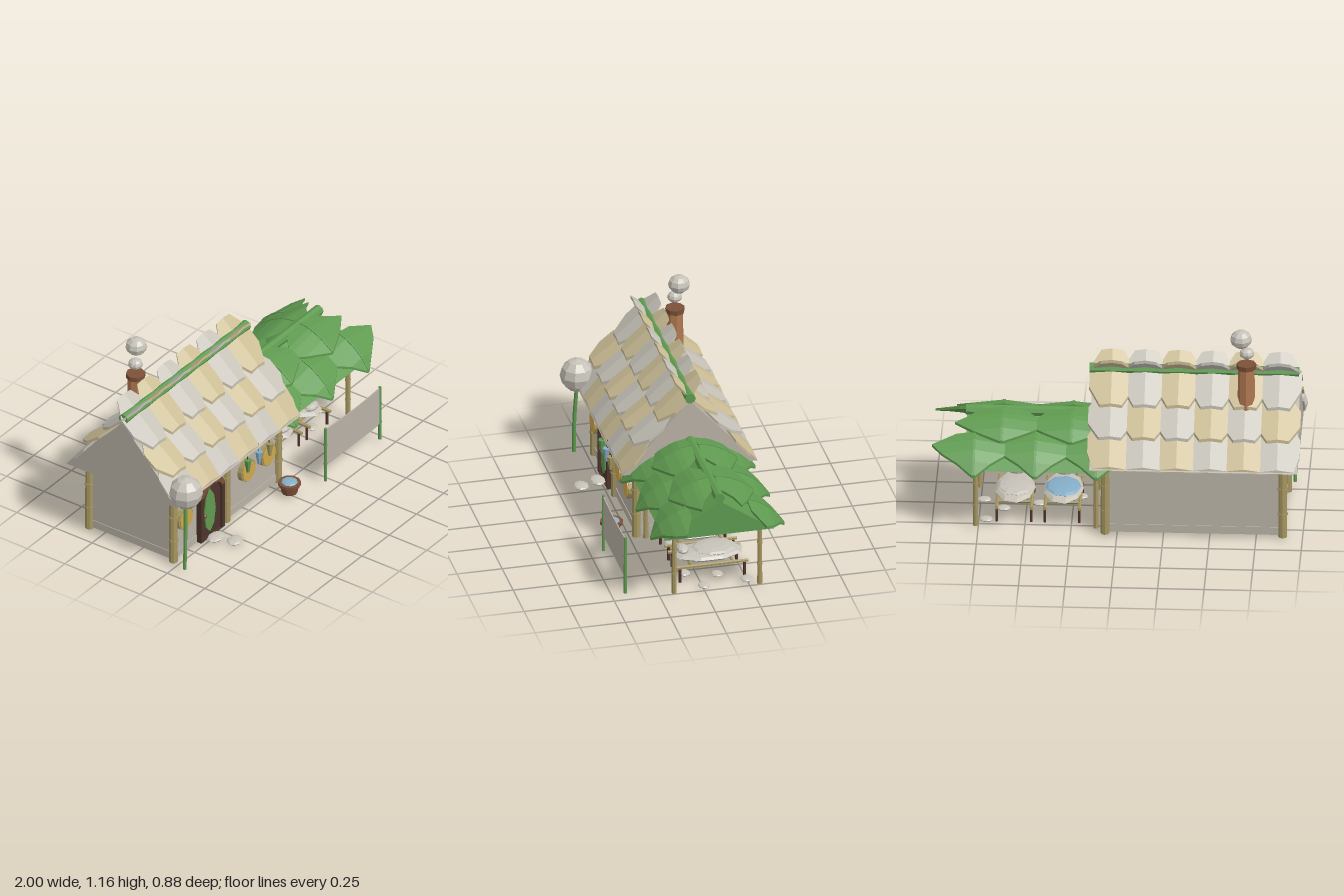
import * as THREE from 'three';

const mat = (name, color) => {
  const m = new THREE.MeshStandardMaterial({ color, flatShading: true });
  m.name = name;
  return m;
};

export function createModel() {
  const wall = mat('plaster', 0xb8b1a5), stone = mat('pale stone', 0xc6c2b8), tan = mat('tan tile', 0xcbbd95);
  const green = mat('leaf green', 0x5f9a50), bamboo = mat('bamboo', 0xa59660), dark = mat('dark wood', 0x4d342c);
  const gold = mat('gold', 0xd0a84c), blue = mat('blue', 0x85aec8), clay = mat('clay', 0xb07850), brown = mat('brown wood', 0x7c5038);
  const root = new THREE.Group();
  const ZC = -0.065; // ridge line

  const add = (name, geo, material, x = 0, y = 0, z = 0) => {
    const m = new THREE.Mesh(geo, material);
    m.name = name;
    m.position.set(x, y, z);
    root.add(m);
    return m;
  };
  const box = (name, m, w, h, d, x, y, z) => add(name, new THREE.BoxGeometry(w, h, d), m, x, y, z);
  const cyl = (name, m, rt, rb, y0, y1, x, z, n = 8) =>
    add(name, new THREE.CylinderGeometry(rt, rb, y1 - y0, n), m, x, (y0 + y1) / 2, z);
  const blob = (name, m, rx, ry, rz, x, y, z) =>
    add(name, new THREE.SphereGeometry(1, 9, 6), m, x, y, z).scale.set(rx, ry, rz);
  const extrude = (shape, depth) => new THREE.ExtrudeGeometry(shape, { depth, bevelEnabled: false, curveSegments: 5 });
  const poly = pts => new THREE.Shape(pts.map(p => new THREE.Vector2(...p)));

  // Jointed bamboo pole
  const pole = (name, m, r, y0, y1, x, z) => {
    cyl(name, m, r * 0.93, r, y0, y1, x, z);
    for (const t of [0.33, 0.68]) {
      const y = y0 + (y1 - y0) * t;
      cyl(name + 'Joint', m, r * 1.15, r * 1.15, y - 0.005, y + 0.005, x, z);
    }
  };

  // Gable prism along x
  const prism = (name, m, x0, x1, half, y0, y1) => {
    const g = extrude(poly([[-half, y0], [half, y0], [0, y1]]), x1 - x0);
    add(name, g, m, x0, 0, ZC).rotation.y = Math.PI / 2;
  };

  // Folded plate lofted down a slope: path of [z, y, halfWidth]
  const blade = (path, sag, thick) => {
    const rings = path.map(([z, y, w]) => [
      [-w, y - sag * w, z], [0, y, z], [w, y - sag * w, z],
      [w, y - sag * w - thick, z], [0, y - thick, z], [-w, y - sag * w - thick, z]]);
    const out = [], tri = (...p) => p.forEach(v => out.push(...v));
    for (let i = 0; i < rings.length - 1; i++) for (let j = 0; j < 6; j++) {
      const k = (j + 1) % 6, a = rings[i][j], b = rings[i][k], c = rings[i + 1][k], d = rings[i + 1][j];
      tri(a, d, b);
      tri(b, d, c);
    }
    const s = rings[0], e = rings[rings.length - 1];
    for (let j = 1; j < 5; j++) {
      tri(s[0], s[j], s[j + 1]);
      tri(e[0], e[j + 1], e[j]);
    }
    const g = new THREE.BufferGeometry();
    g.setAttribute('position', new THREE.Float32BufferAttribute(out, 3));
    g.computeVertexNormals();
    return g;
  };

  // House body
  box('walls', wall, 0.955, 0.41, 0.555, -0.413, 0.225, ZC);
  box('wallBase', wall, 0.963, 0.045, 0.563, -0.413, 0.0425, ZC);
  for (const x of [-0.893, -0.41, 0.064]) pole('frontPost', bamboo, 0.024, 0.01, 0.43, x, 0.213);
  for (const x of [-0.893, 0.064]) pole('backPost', bamboo, 0.024, 0.01, 0.43, x, -0.345);
  prism('roofCore', wall, -0.975, 0.145, 0.375, 0.43, 0.84);
  const ridge = (name, x0, x1, y) => {
    add(name, new THREE.CylinderGeometry(0.03, 0.03, x1 - x0, 8), green, (x0 + x1) / 2, y, ZC).rotation.z = Math.PI / 2;
  };
  ridge('roofRidge', -0.97, 0.16, 0.86);

  // Roof tiles, three rows on each slope
  const rows = [[-0.07, 0.945, 0.165, 0.73], [0.09, 0.765, 0.3, 0.6], [0.2, 0.655, 0.37, 0.45]];
  rows.forEach(([z0, y0, z1, y1], r) => {
    const widths = [0.06, 0.12, 0.12, r === 2 ? 0.09 : 0.06];
    const path = [0, 0.3, 0.65, 1].map((t, i) => [z0 + (z1 - z0) * t, y0 + (y1 - y0) * t, widths[i]]);
    const g = blade(path, 0.14, 0.018);
    for (let c = 0; c < 6; c++) for (const turn of [0, Math.PI])
      add('roofTile', g, (r + c) % 2 ? tan : stone, -0.866 + c * 0.181, 0, ZC).rotation.y = turn;
  });

  // Chimney and smoke
  cyl('chimney', clay, 0.044, 0.05, 0.6, 0.94, -0.69, -0.185);
  cyl('chimneyCap', brown, 0.054, 0.052, 0.935, 0.963, -0.69, -0.185);
  blob('smallSmoke', stone, 0.041, 0.031, 0.041, -0.693, 1.025, -0.184);
  blob('largeSmoke', stone, 0.06, 0.051, 0.06, -0.662, 1.117, -0.201);

  // Door
  const arch = (hw, h) => poly([[-hw, 0.02], [hw, 0.02], [hw, h - 0.07], [hw * 0.72, h - 0.02], [0.02, h], [-0.02, h], [-hw * 0.72, h - 0.02], [-hw, h - 0.07]]);
  const frame = arch(0.108, 0.375);
  frame.holes.push(arch(0.085, 0.35));
  add('doorFrame', extrude(frame, 0.04), dark, -0.573, 0, 0.205);
  const lintel = poly([[-0.108, 0.305], [-0.08, 0.305], [-0.055, 0.337], [0, 0.356], [0.055, 0.337], [0.08, 0.305], [0.108, 0.305], [0.078, 0.358], [0.02, 0.377], [-0.02, 0.377], [-0.078, 0.358]]);
  add('doorArch', extrude(lintel, 0.046), brown, -0.573, 0, 0.203);
  add('door', extrude(arch(0.088, 0.352), 0.02), dark, -0.573, 0, 0.21);
  const leaf = poly([[0, 0.05], [0.035, 0.09], [0.05, 0.18], [0.035, 0.27], [0, 0.325], [-0.035, 0.27], [-0.05, 0.18], [-0.035, 0.09]]);
  add('doorLeaf', extrude(leaf, 0.008), green, -0.59, 0, 0.231);
  blob('doorKnob', brown, 0.012, 0.012, 0.012, -0.642, 0.175, 0.24);

  // Round windows
  for (const x of [-0.813, -0.24, -0.055]) {
    add('windowRim', new THREE.CylinderGeometry(0.066, 0.066, 0.035, 14), bamboo, x, 0.252, 0.222).rotation.x = Math.PI / 2;
    add('windowPane', new THREE.CylinderGeometry(0.057, 0.057, 0.008, 14), gold, x, 0.252, 0.241).rotation.x = Math.PI / 2;
  }

  // Hanging cones under the eave
  [[green, -0.335], [blue, -0.235], [bamboo, -0.135]].forEach(([m, x]) => {
    cyl('hangingCone', m, 0.022, 0.009, 0.322, 0.4, x, 0.305, 6);
    cyl('hangingCord', dark, 0.003, 0.003, 0.4, 0.45, x, 0.3, 4);
  });

  // Round tree on a bent stalk
  const stalk = new THREE.CatmullRomCurve3([[-0.93, 0.02, 0.315], [-0.925, 0.2, 0.316], [-0.908, 0.44, 0.305]].map(p => new THREE.Vector3(...p)));
  add('stalk', new THREE.TubeGeometry(stalk, 6, 0.011, 6), green);
  blob('treeCrown', stone, 0.094, 0.094, 0.094, -0.906, 0.5, 0.305);

  // Water bucket
  cyl('bucket', brown, 0.055, 0.043, 0.02, 0.075, 0.003, 0.335, 10);
  cyl('bucketRim', brown, 0.063, 0.063, 0.07, 0.086, 0.003, 0.335, 10);
  blob('water', blue, 0.047, 0.015, 0.047, 0.003, 0.084, 0.335);

  // Awning
  prism('awningCore', green, 0.08, 0.82, 0.302, 0.375, 0.578);
  ridge('awningRidge', 0.08, 0.825, 0.597);
  for (const x of [0.115, 0.763]) for (const z of [0.172, -0.302]) pole('awningPost', bamboo, 0.014, 0.02, 0.39, x, z);
  const lower = [[0.165, 0.545, 0.1], [0.22, 0.525, 0.23], [0.275, 0.49, 0.175], [0.325, 0.445, 0.09], [0.37, 0.38, 0.008]];
  const upper = [[0.02, 0.627, 0.12], [0.08, 0.617, 0.19], [0.11, 0.606, 0.255], [0.17, 0.575, 0.16], [0.235, 0.525, 0.008]];
  const rib = path => blade(path.map(([z, y]) => [z, y + 0.004, 0.006]), 0, 0.012);
  [[lower, [0.11, 0.44, 0.77], 0.15], [upper, [0.25, 0.625], 0.13]].forEach(([path, xs, sag]) => {
    const g = blade(path, sag, 0.014), rg = rib(path);
    for (const x of xs) for (const turn of [0, Math.PI]) {
      add('awningLeaf', g, green, x, 0, ZC).rotation.y = turn;
      add('leafRib', rg, green, x, 0, ZC).rotation.y = turn;
    }
  });

  // Beds: rails, legs, mattress, blanket, pillow
  [[0.3, blue], [0.56, stone]].forEach(([x, m]) => {
    for (const s of [-1, 1]) {
      add('bedRail', new THREE.CylinderGeometry(0.01, 0.01, 0.4, 6), bamboo, x + s * 0.093, 0.108, ZC).rotation.x = Math.PI / 2;
      for (const z of [0.113, -0.245]) cyl('bedLeg', dark, 0.008, 0.008, 0.02, 0.104, x + s * 0.093, z, 6);
    }
    for (const z of [0.05, -0.18])
      add('bedSlat', new THREE.CylinderGeometry(0.008, 0.008, 0.2, 6), bamboo, x, 0.108, z).rotation.z = Math.PI / 2;
    blob('mattress', stone, 0.11, 0.026, 0.198, x, 0.139, ZC);
    blob('blanket', m, 0.098, 0.018, 0.125, x, 0.164, -0.098);
    blob('pillow', stone, 0.05, 0.021, 0.034, x, 0.172, 0.077);
  });

  // Ground stones
  [[0.21, 0.06], [0.43, -0.03], [0.57, 0.07], [0.62, -0.1], [0.73, 0], [0.71, -0.24]].forEach(([x, z]) => blob('groundStone', stone, 0.038, 0.011, 0.033, x, 0.029, z));
  blob('stepStone', stone, 0.052, 0.014, 0.042, -0.545, 0.018, 0.37);
  blob('stepStone', stone, 0.06, 0.014, 0.042, -0.58, 0.021, 0.27);

  // Cloth screen on two poles
  for (const x of [0.205, 0.703]) pole('screenPole', green, 0.009, 0.02, 0.358, x, 0.428);
  const cloth = new THREE.Shape();
  cloth.moveTo(0.208, 0.13);
  cloth.quadraticCurveTo(0.225, 0.117, 0.25, 0.117);
  cloth.lineTo(0.66, 0.117);
  cloth.quadraticCurveTo(0.69, 0.117, 0.7, 0.13);
  cloth.lineTo(0.7, 0.352);
  cloth.quadraticCurveTo(0.45, 0.332, 0.208, 0.352);
  add('screenCloth', extrude(cloth, 0.006), wall, 0, 0, 0.425);

  return root;
}
